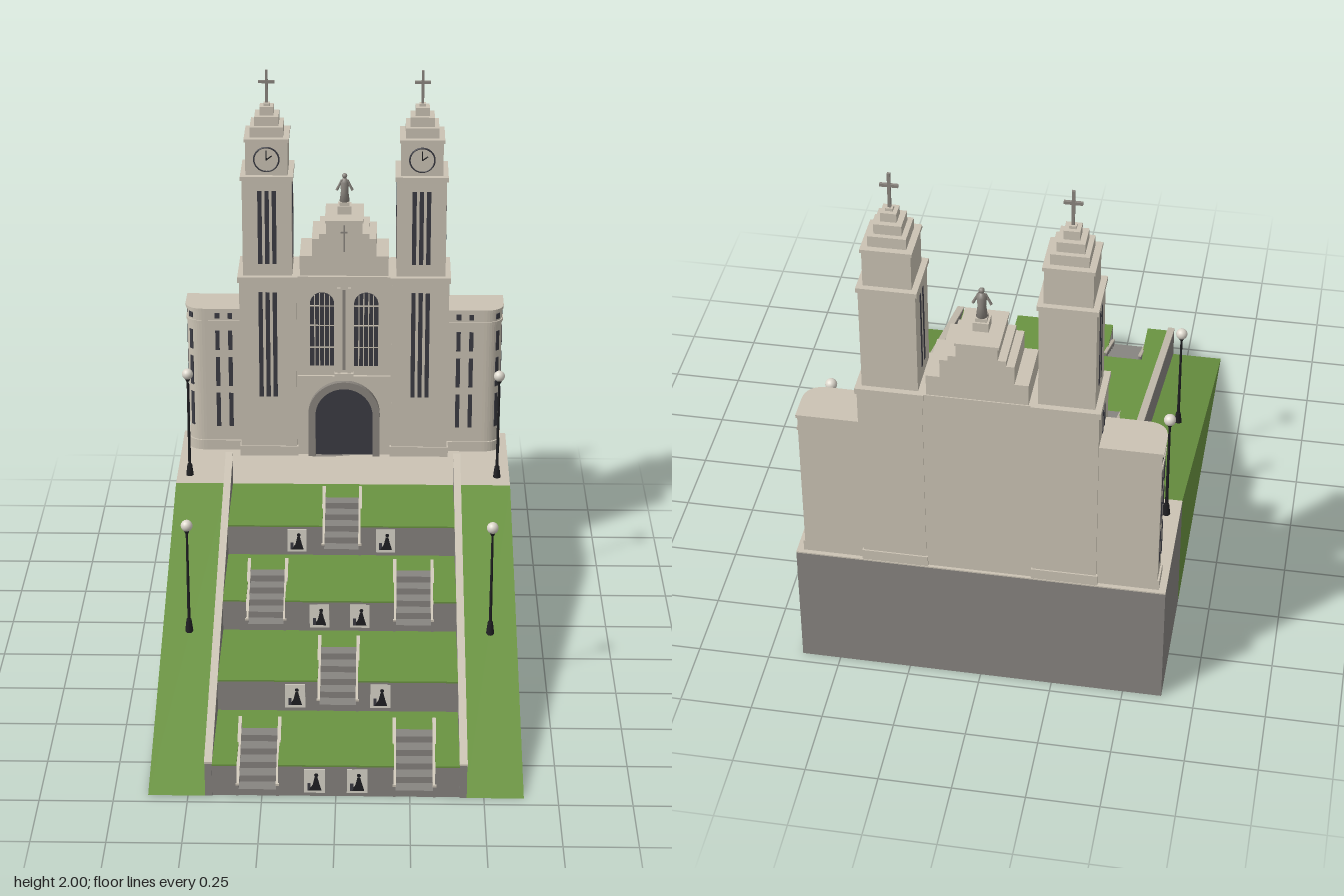
import * as THREE from 'three';

const mat = (name, color, side = THREE.FrontSide) => {
  const m = new THREE.MeshStandardMaterial({ color, side });
  m.name = name;
  return m;
};

export function createModel() {
  const cream = mat('cream stone', 0xcbc3b4);
  const grey = mat('grey stone', 0x878480);
  const grass = mat('grass green', 0x6a9341);
  const dark = mat('dark glass', 0x3b3b43);
  const black = mat('black iron', 0x1f1f22);
  const pale = mat('pale panel', 0xdcd7cc);
  const bronze = mat('weathered statue', 0x8b867f);

  const root = new THREE.Group();
  const add = (name, geo, m, x = 0, y = 0, z = 0, parent = root) => {
    const mesh = new THREE.Mesh(geo, m);
    mesh.name = name;
    mesh.position.set(x, y, z);
    parent.add(mesh);
    return mesh;
  };
  // box given by its limits
  const box = (name, m, x0, x1, y0, y1, z0, z1, parent = root) =>
    add(name, new THREE.BoxGeometry(Math.abs(x1 - x0), y1 - y0, z1 - z0), m,
      (x0 + x1) / 2, (y0 + y1) / 2, (z0 + z1) / 2, parent);
  const extrude = (shape, depth) =>
    new THREE.ExtrudeGeometry(shape, { depth, bevelEnabled: false, curveSegments: 12 });
  const poly = pts => new THREE.Shape(pts.map(p => new THREE.Vector2(p[0], p[1])));
  // side profile of (z, y) points, extruded across x
  const profile = (name, m, pts, x, width) =>
    add(name, extrude(poly(pts), width).rotateY(-Math.PI / 2), m, x + width / 2);
  // plan of (x, -z) points, extruded upwards
  const plan = (name, m, shape, y, height) =>
    add(name, extrude(shape, height).rotateX(-Math.PI / 2), m, 0, y);
  // round-headed opening standing on y = 0
  const arch = (w, spring, P = THREE.Shape) => {
    const s = new P();
    s.moveTo(-w, 0);
    s.lineTo(w, 0);
    s.lineTo(w, spring);
    s.absarc(0, spring, w, 0, Math.PI, false);
    s.lineTo(-w, 0);
    return s;
  };
  // sloping wall with a pale coping
  const slopedWall = (name, x, w, zf, zb, yf, rise, h) => {
    const yb = yf + rise;
    profile(name, grey, [[zf, yf], [zb, yf], [zb, yb + h], [zf, yf + h]], x, w);
    profile(name + 'Coping', cream,
      [[zf, yf + h], [zb, yb + h], [zb, yb + h + 0.007], [zf, yf + h + 0.007]], x, w + 0.003);
  };

  // hollow plateau under the church
  box('plateauBack', grey, -0.635, 0.635, 0, 0.475, -0.96, -0.95);
  for (const s of [-1, 1]) box('plateauSide', grey, s * 0.625, s * 0.635, 0, 0.475, -0.95, -0.48);
  box('plazaPaving', cream, -0.635, 0.635, 0.475, 0.48, -0.96, -0.48);

  // grass banks and sloped retaining walls
  for (const s of [-1, 1]) {
    profile('grassBank', grass, [[0.96, 0], [-0.48, 0], [-0.48, 0.48]], s * 0.537, 0.196);
    slopedWall('retainingWall', s * 0.43, 0.024, 0.96, -0.48, 0, 0.48, 0.125);
  }

  // four terraces with stairs cut into them
  const panelX = [0.072, 0.148, 0.072, 0.163];
  for (let i = 0; i < 4; i++) {
    const y = i * 0.12, z = 0.955 - i * 0.36;
    const stairs = i % 2 ? [0] : [-0.265, 0.265];
    const outline = [[-0.42, -z]];
    let left = -0.42;
    for (const x of stairs) {
      outline.push([x - 0.07, -z], [x - 0.07, -z + 0.24], [x + 0.07, -z + 0.24], [x + 0.07, -z]);
      box('terraceWall', grey, left, x - 0.07, y, y + 0.114, z - 0.01, z);
      left = x + 0.07;
      const steps = [[z - 0.24, y]];
      steps.push([z, y]);
      for (let k = 0; k < 5; k++) {
        steps.push([z - k * 0.048, y + (k + 1) * 0.024], [z - (k + 1) * 0.048, y + (k + 1) * 0.024]);
      }
      profile('stairs', grey, steps, x, 0.134);
      for (const s of [-1, 1]) slopedWall('stairParapet', x + s * 0.068, 0.009, z + 0.003, z - 0.24, y, 0.12, 0.04);
    }
    box('terraceWall', grey, left, 0.42, y, y + 0.114, z - 0.01, z);
    outline.push([0.42, -z], [0.42, -z + 0.36], [-0.42, -z + 0.36]);
    plan('terraceLawn', grass, poly(outline), y + 0.114, 0.006);

    // relief panels with a seated figure and a companion
    for (const s of [-1, 1]) {
      const g = new THREE.Group();
      g.name = 'reliefPanel';
      g.position.set(s * panelX[i], y + 0.06, z);
      root.add(g);
      box('panel', pale, -0.035, 0.035, -0.046, 0.046, 0, 0.003, g);
      add('robe', extrude(poly([[-0.02, -0.036], [0.024, -0.036], [0.016, -0.008], [0.01, 0.016], [0.001, 0.016], [-0.006, -0.014]]), 0.002), black, 0, 0, 0.003, g);
      add('head', new THREE.CircleGeometry(0.007, 12), black, 0.006, 0.024, 0.0045, g);
      box('companion', dark, -0.024, -0.013, -0.036, -0.008, 0.003, 0.005, g);
    }
  }

  // towers
  const tz = -0.845;
  for (const s of [-1, 1]) {
    const x = s * 0.29;
    const tier = (name, half, y0, y1, m = cream) => box(name, m, x - half, x + half, y0, y1, tz - half, tz + half);
    tier('towerPlinth', 0.113, 0.48, 0.52);
    tier('towerBase', 0.108, 0.52, 1.2);
    tier('towerCornice', 0.114, 1.2, 1.222);
    tier('towerShaft', 0.093, 1.222, 1.6);
    tier('towerCornice', 0.099, 1.6, 1.617);
    tier('clockStage', 0.079, 1.617, 1.745);
    tier('towerCornice', 0.084, 1.745, 1.758);
    [[0.062, 1.758, 1.797], [0.045, 1.797, 1.833], [0.026, 1.833, 1.865], [0.012, 1.865, 1.875]]
      .forEach(t => tier('steppedCap', ...t));
    box('crossPost', bronze, x - 0.005, x + 0.005, 1.87, 2, tz - 0.005, tz + 0.005);
    box('crossArm', bronze, x - 0.03, x + 0.03, 1.95, 1.96, tz - 0.005, tz + 0.005);
    // narrow windows on front and sides
    for (const [h, y0, y1] of [[0.108, 0.73, 1.16], [0.093, 1.27, 1.56]]) {
      for (const d of [-0.027, 0, 0.027])
        box('towerWindow', dark, x + d - 0.008, x + d + 0.008, y0, y1, tz + h, tz + h + 0.002);
      for (const d of [-0.02, 0.02]) for (const e of [-1, 1])
        box('towerSideWindow', dark, x + e * h, x + e * (h + 0.002), y0, y1, tz + d - 0.007, tz + d + 0.007);
    }
    // clock
    const cz = tz + 0.079;
    add('clockFace', new THREE.CylinderGeometry(0.045, 0.045, 0.006, 32).rotateX(Math.PI / 2), cream, x, 1.68, cz + 0.003);
    add('clockRim', new THREE.TorusGeometry(0.046, 0.0035, 6, 32), dark, x, 1.68, cz + 0.004);
    box('minuteHand', black, x - 0.002, x + 0.002, 1.678, 1.715, cz + 0.006, cz + 0.008);
    add('hourHand', new THREE.BoxGeometry(0.026, 0.004, 0.002), black, x + 0.01, 1.687, cz + 0.007).rotation.z = 0.65;
  }

  // nave front with stepped gable
  box('nave', cream, -0.185, 0.185, 0.48, 1.185, -0.95, -0.75);
  box('naveCornice', cream, -0.185, 0.185, 1.185, 1.222, -0.954, -0.742);
  for (const [h, y0, y1] of [[0.168, 1.222, 1.3], [0.122, 1.3, 1.37], [0.095, 1.37, 1.39], [0.068, 1.39, 1.432], [0.073, 1.432, 1.442]])
    box('gableStep', cream, -h, h, y0, y1, -0.95, -0.755);
  box('gableCross', bronze, -0.003, 0.003, 1.32, 1.425, -0.755, -0.751);
  box('gableCrossArm', bronze, -0.013, 0.013, 1.393, 1.399, -0.755, -0.751);
  box('facadeBand', cream, -0.178, 0.178, 0.8, 0.815, -0.75, -0.738);
  box('centralPier', cream, -0.034, 0.034, 0.815, 1.185, -0.75, -0.742);
  for (const s of [-1, 1]) box('pierRib', cream, s * 0.014, s * 0.026, 0.815, 1.18, -0.742, -0.73);
  box('pierNiche', bronze, -0.006, 0.006, 0.84, 1.17, -0.742, -0.739);
  box('pierCorbel', cream, -0.036, 0.036, 0.8, 0.83, -0.75, -0.726);

  // arched windows with mullions
  for (const s of [-1, 1]) {
    add('archedWindow', extrude(arch(0.046, 0.255), 0.002), dark, s * 0.084, 0.855, -0.75);
    for (const d of [-0.028, -0.0095, 0.0095, 0.028])
      box('mullion', cream, s * 0.084 + d - 0.002, s * 0.084 + d + 0.002, 0.855, Math.abs(d) > 0.02 ? 1.145 : 1.153, -0.748, -0.744);
    for (const y of [0.93, 1.02, 1.1])
      box('transom', cream, s * 0.084 - 0.046, s * 0.084 + 0.046, y, y + 0.004, -0.748, -0.745);
  }

  // portal
  const surround = arch(0.138, 0.175);
  surround.holes.push(arch(0.11, 0.175, THREE.Path));
  add('portalSurround', extrude(surround, 0.022), bronze, 0, 0.48, -0.75);
  add('doorway', extrude(arch(0.11, 0.175), 0.003), dark, 0, 0.48, -0.75);

  // statue with raised arms on its pedestal
  box('pedestal', cream, -0.026, 0.026, 1.442, 1.475, -0.876, -0.824);
  box('pedestalTop', cream, -0.019, 0.019, 1.475, 1.488, -0.869, -0.831);
  const robe = [[0.0, 0], [0.019, 0], [0.014, 0.04], [0.017, 0.075], [0.007, 0.09], [0, 0.092]];
  add('statueBody', new THREE.LatheGeometry(robe.map(p => new THREE.Vector2(...p)), 16), bronze, 0, 1.488, -0.85);
  add('statueHead', new THREE.SphereGeometry(0.01, 12, 8), bronze, 0, 1.588, -0.85);
  for (const s of [-1, 1])
    add('statueArm', new THREE.CylinderGeometry(0.004, 0.005, 0.045, 8), bronze, s * 0.02, 1.553, -0.845).rotation.z = s * 0.45;

  // side wings with one rounded corner
  for (const s of [-1, 1]) {
    const wing = g => {
      const sh = new THREE.Shape();
      sh.moveTo(s * 0.39, 0.945);
      sh.lineTo(s * (0.605 + g), 0.945);
      sh.lineTo(s * (0.605 + g), 0.86);
      sh.quadraticCurveTo(s * (0.605 + g), 0.79 - g, s * 0.535, 0.79 - g);
      sh.lineTo(s * 0.39, 0.79 - g);
      return sh;
    };
    plan('wingPlinth', cream, wing(0.006), 0.48, 0.04);
    plan('wing', cream, wing(0), 0.52, 0.54);
    plan('wingStringCourse', cream, wing(0.004), 1.01, 0.012);
    plan('wingCoping', cream, wing(0.006), 1.06, 0.012);
    for (const [y0, y1, w] of [[0.58, 0.72, 0.008], [0.75, 0.87, 0.008], [0.9, 0.98, 0.008], [1.03, 1.052, 0.009]]) {
      for (const x of [0.438, 0.487])
        box('wingWindow', dark, s * x - w, s * x + w, y0, y1, -0.79, -0.788);
      for (const z of [-0.915, -0.865])
        box('wingSideWindow', dark, s * 0.605, s * 0.607, y0, y1, z - w, z + w);
      add('wingCornerWindow', new THREE.BoxGeometry(w * 2, y1 - y0, 0.004), dark,
        s * 0.5875, (y0 + y1) / 2, -0.8075).rotation.y = s * Math.PI / 4;
    }
  }

  // lamp posts
  for (const s of [-1, 1]) for (const [x, y, z] of [[0.54, 0.24, 0.24], [0.587, 0.48, -0.555]]) {
    const g = new THREE.Group();
    g.name = 'lampPost';
    g.position.set(s * x, y, z);
    root.add(g);
    add('lampFoot', new THREE.CylinderGeometry(0.009, 0.015, 0.05, 12), black, 0, 0.02, 0, g);
    add('lampPole', new THREE.CylinderGeometry(0.004, 0.006, 0.4, 10), black, 0, 0.2, 0, g);
    add('lampCollar', new THREE.CylinderGeometry(0.011, 0.006, 0.012, 12), black, 0, 0.396, 0, g);
    add('lampGlobe', new THREE.SphereGeometry(0.021, 16, 12), pale, 0, 0.419, 0, g);
  }

  return root;
}
